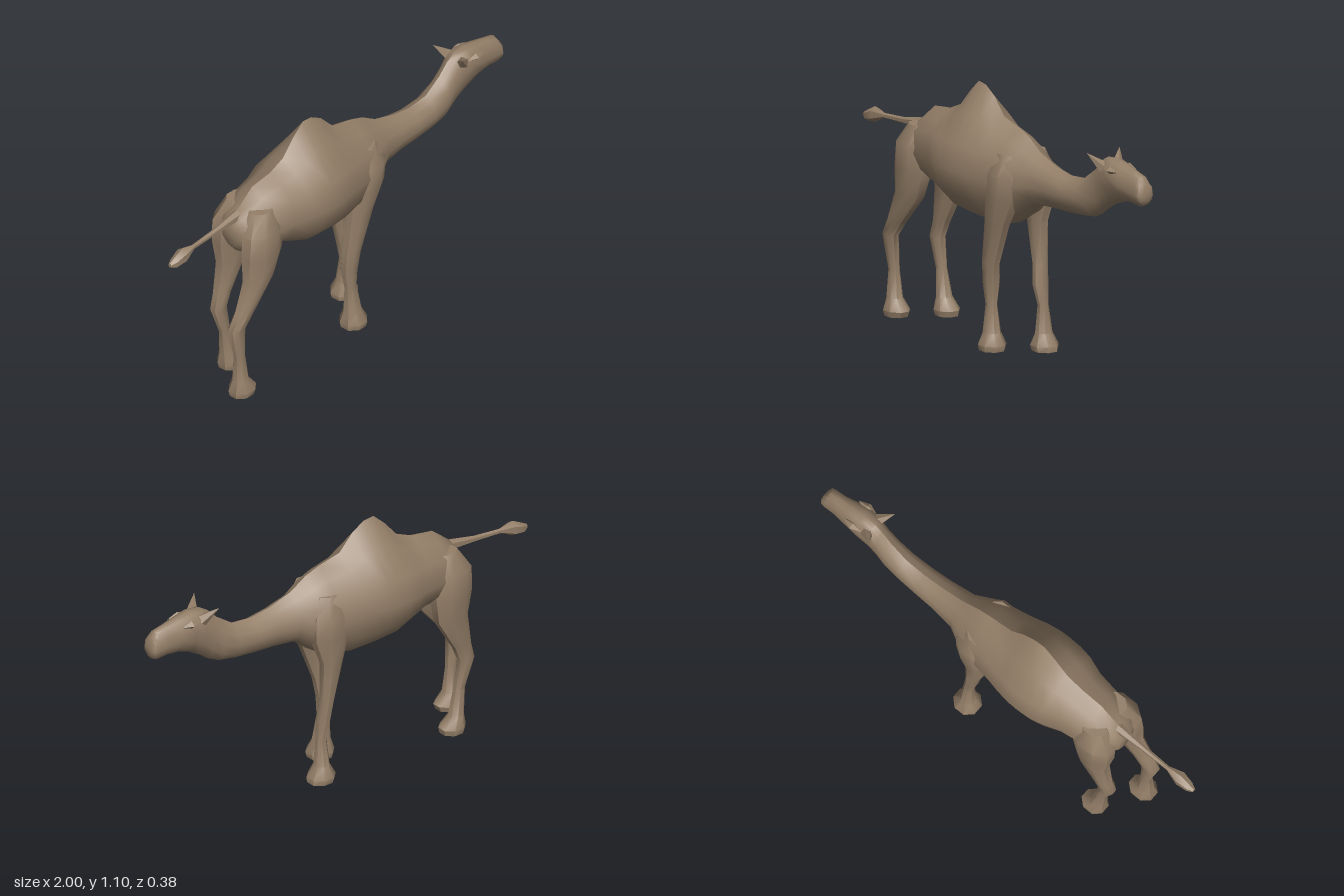
import * as THREE from 'three';
import { toCreasedNormals } from 'three/addons/utils/BufferGeometryUtils.js';

const coat = new THREE.MeshStandardMaterial({ color: 0x947f68 });
coat.name = 'coat';

// Skin a list of equal-length rings of [x, y, z] and close both ends
function loft(rings, crease = 0.75) {
  const n = rings[0].length, pos = rings.flat(2), idx = [];
  rings.slice(1).forEach((_, i) => {
    for (let j = 0; j < n; j++) {
      const k = (j + 1) % n, a = i * n + j, b = i * n + k;
      idx.push(a, b, b + n, a, b + n, a + n);
    }
  });
  for (const i of [0, rings.length - 1]) {
    const centre = pos.length / 3;
    for (let c = 0; c < 3; c++) pos.push(rings[i].reduce((s, p) => s + p[c], 0) / n);
    for (let j = 0; j < n; j++) {
      const a = i * n + j, b = i * n + (j + 1) % n;
      idx.push(centre, ...(i === 0 ? [b, a] : [a, b]));
    }
  }
  const g = new THREE.BufferGeometry();
  g.setAttribute('position', new THREE.Float32BufferAttribute(pos, 3));
  g.setIndex(idx);
  return toCreasedNormals(g, crease);
}

// Upright slice of the trunk: pointed or round back, full flank, round belly
function trunkRing([x, top, shoulder, w, mid, bottom, peak = 0.6]) {
  const mix = THREE.MathUtils.lerp;
  const half = [
    [0.45 * w, mix(shoulder, top, peak)],
    [0.88 * w, shoulder],
    [w, mid],
    [0.84 * w, mix(mid, bottom, 0.5)],
    [0.45 * w, mix(mid, bottom, 0.88)],
  ];
  return [
    [x, top, 0],
    ...half.map(([z, y]) => [x, y, z]),
    [x, bottom, 0],
    ...half.reverse().map(([z, y]) => [x, y, -z]),
  ];
}

// Level slice of a leg: [y, back x, front x, inner z, outer z]
function legRing([y, x0, x1, z0, z1], side) {
  return Array.from({ length: 8 }, (_, j) => {
    const a = (j + 0.5) * Math.PI / 4;
    return [
      (x0 + x1) / 2 + Math.sin(a) * (x1 - x0) / 2 * 1.06,
      y,
      side * (z0 + z1) / 2 + Math.cos(a) * (z1 - z0) / 2 * 1.06,
    ];
  });
}

export function createModel() {
  const model = new THREE.Group();
  model.name = 'camel';
  const add = (name, geometry) => {
    const mesh = new THREE.Mesh(geometry, coat);
    mesh.name = name;
    model.add(mesh);
    return mesh;
  };

  // Trunk with hump: x, top, shoulder, half width, widest, belly, peak
  const trunk = [
    [-0.63, 0.80, 0.78, 0.05, 0.75, 0.70],
    [-0.60, 0.85, 0.80, 0.09, 0.74, 0.66],
    [-0.50, 0.93, 0.84, 0.13, 0.75, 0.62],
    [-0.39, 0.945, 0.86, 0.145, 0.75, 0.61],
    [-0.31, 0.98, 0.87, 0.175, 0.76, 0.575],
    [-0.25, 1.05, 0.87, 0.187, 0.76, 0.55, 0.52],
    [-0.19, 1.105, 0.87, 0.19, 0.76, 0.545, 0.5],
    [-0.14, 1.10, 0.87, 0.188, 0.76, 0.54, 0.5],
    [-0.08, 1.065, 0.87, 0.178, 0.76, 0.535, 0.52],
    [-0.01, 0.99, 0.86, 0.16, 0.75, 0.53],
    [0.10, 0.965, 0.85, 0.14, 0.74, 0.555],
    [0.17, 0.94, 0.83, 0.125, 0.74, 0.60],
    [0.25, 0.89, 0.82, 0.083, 0.755, 0.665],
    [0.36, 0.855, 0.81, 0.07, 0.76, 0.675],
    [0.46, 0.84, 0.80, 0.065, 0.76, 0.68],
    [0.56, 0.85, 0.81, 0.06, 0.765, 0.688],
    [0.64, 0.905, 0.85, 0.055, 0.79, 0.70],
    [0.69, 0.955, 0.90, 0.05, 0.84, 0.725],
  ];
  // Head continues the neck
  const head = [
    [0.73, 0.98, 0.945, 0.052, 0.88, 0.755, 0.8],
    [0.79, 0.985, 0.95, 0.06, 0.91, 0.79, 0.8],
    [0.86, 0.972, 0.935, 0.052, 0.89, 0.815, 0.8],
    [0.92, 0.96, 0.92, 0.042, 0.875, 0.82, 0.8],
    [0.97, 0.948, 0.91, 0.042, 0.87, 0.815, 0.8],
    [0.99, 0.92, 0.90, 0.04, 0.865, 0.825, 0.8],
    [1.00, 0.89, 0.88, 0.028, 0.865, 0.845, 0.8],
  ];
  add('bodyNeckAndHead', loft([...trunk, ...head].map(trunkRing), 0.8));

  // Tail with tuft: x, y, radius
  const tail = [
    [-1.0, 0.785, 0.01], [-0.975, 0.785, 0.024], [-0.925, 0.80, 0.034],
    [-0.86, 0.808, 0.011], [-0.72, 0.818, 0.014], [-0.57, 0.835, 0.028],
  ];
  add('tail', loft(tail.map(([x, y, r]) => Array.from({ length: 6 }, (_, j) => {
    const a = j * Math.PI / 3;
    return [x, y + Math.cos(a) * r, Math.sin(a) * r * 0.9];
  }))));

  // Legs differ from side to side because the animal is walking
  const legs = {
    leftFrontLeg: [-1, [
      [0.005, 0.10, 0.215, 0.035, 0.14], [0.03, 0.095, 0.215, 0.03, 0.145],
      [0.08, 0.12, 0.185, 0.05, 0.122], [0.20, 0.13, 0.175, 0.06, 0.105],
      [0.29, 0.11, 0.165, 0.045, 0.113], [0.38, 0.095, 0.155, 0.055, 0.12],
      [0.56, 0.05, 0.155, 0.05, 0.13], [0.68, 0.02, 0.20, 0.03, 0.145],
      [0.78, 0.03, 0.20, 0.03, 0.147], [0.87, 0.06, 0.16, 0.03, 0.11],
    ]],
    rightFrontLeg: [1, [
      [0.005, -0.03, 0.08, 0.035, 0.14], [0.03, -0.035, 0.085, 0.03, 0.145],
      [0.08, -0.02, 0.06, 0.05, 0.122], [0.20, -0.015, 0.04, 0.06, 0.105],
      [0.29, -0.03, 0.045, 0.045, 0.113], [0.38, -0.03, 0.06, 0.055, 0.12],
      [0.56, -0.005, 0.13, 0.05, 0.13], [0.68, 0.00, 0.19, 0.03, 0.145],
      [0.78, 0.02, 0.20, 0.03, 0.147], [0.87, 0.06, 0.16, 0.03, 0.11],
    ]],
    leftHindLeg: [-1, [
      [0.005, -0.59, -0.485, 0.04, 0.135], [0.03, -0.595, -0.48, 0.035, 0.14],
      [0.08, -0.59, -0.525, 0.055, 0.122], [0.20, -0.60, -0.55, 0.065, 0.11],
      [0.33, -0.645, -0.57, 0.06, 0.122], [0.40, -0.625, -0.54, 0.06, 0.127],
      [0.55, -0.605, -0.45, 0.045, 0.137], [0.66, -0.625, -0.435, 0.03, 0.148],
      [0.77, -0.625, -0.435, 0.02, 0.15], [0.86, -0.57, -0.46, 0.02, 0.11],
    ]],
    rightHindLeg: [1, [
      [0.005, -0.71, -0.60, 0.04, 0.135], [0.03, -0.715, -0.59, 0.035, 0.14],
      [0.08, -0.70, -0.63, 0.055, 0.122], [0.20, -0.695, -0.645, 0.065, 0.11],
      [0.35, -0.73, -0.65, 0.06, 0.122], [0.42, -0.69, -0.59, 0.06, 0.127],
      [0.55, -0.635, -0.475, 0.045, 0.137], [0.66, -0.635, -0.435, 0.03, 0.148],
      [0.77, -0.625, -0.435, 0.02, 0.15], [0.86, -0.57, -0.46, 0.02, 0.11],
    ]],
  };
  // The animal walks towards +x, so its own left side lies at -z
  for (const [name, [side, rows]] of Object.entries(legs)) {
    add(name, loft(rows.map((row) => legRing(row, side))));
  }

  // Pointed ears and brow ridges
  for (const side of [-1, 1]) {
    const label = side < 0 ? 'left' : 'right';
    const base = new THREE.Vector3(0.745, 0.94, side * 0.035);
    const tip = new THREE.Vector3(0.692, 1.0, side * 0.085);
    const dir = tip.clone().sub(base);
    const ear = add(label + 'Ear', toCreasedNormals(new THREE.ConeGeometry(0.028, dir.length(), 5), 0.7));
    ear.position.copy(base).add(tip).multiplyScalar(0.5);
    ear.quaternion.setFromUnitVectors(new THREE.Vector3(0, 1, 0), dir.normalize());

    const brow = add(label + 'Brow', new THREE.OctahedronGeometry(1));
    brow.scale.set(0.05, 0.018, 0.02);
    brow.position.set(0.81, 0.945, side * 0.05);
  }
  return model;
}
